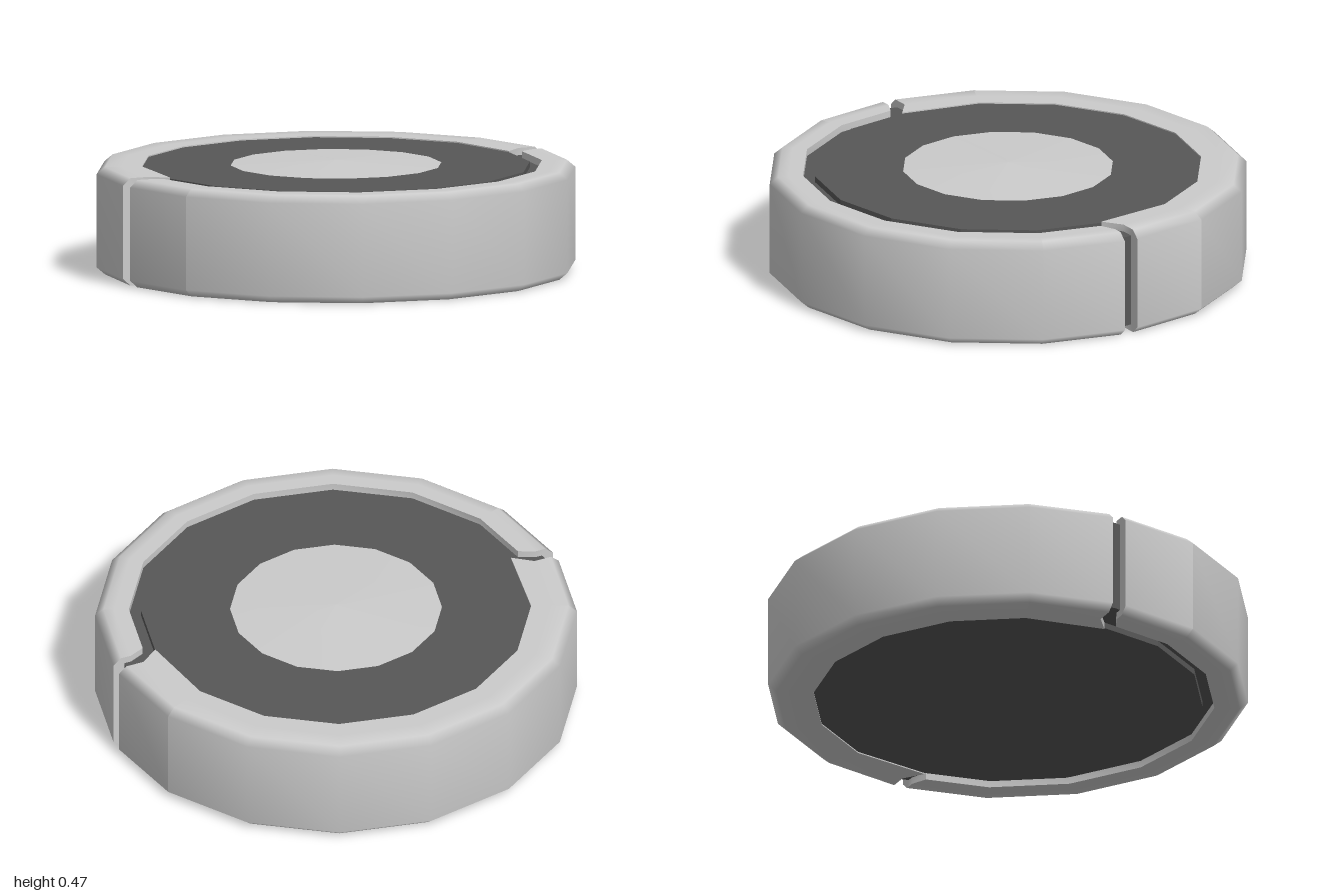
import * as THREE from 'three';

const SIDES = 16;
const HEIGHT = 0.45, LIP = 0.03;
const CORE_R = 0.81, BODY_R = 0.95, HALF_GAP = 0.03;

const grey = new THREE.MeshStandardMaterial({ color: 0xcccccc, side: THREE.DoubleSide });
const dark = new THREE.MeshStandardMaterial({ color: 0x575757, flatShading: true });

// Indexed surface through rows of points; area-weighted normals keep the bevels soft
function surface(rows) {
  const n = rows[0].length, index = [];
  for (let j = 0; j < rows.length - 1; j++) {
    for (let k = 0; k < n - 1; k++) {
      const a = j * n + k, b = a + n;
      index.push(a, b, a + 1, b, b + 1, a + 1);
    }
  }
  const geo = new THREE.BufferGeometry().setFromPoints(rows.flat());
  geo.setIndex(index);
  geo.computeVertexNormals();
  return geo;
}

// Half of the outer shell. side = 1 front, -1 back.
// The lip ends bend between radius bend and radius inner, reaching offset endZ.
function halfShell(name, side, inner, bend, endZ) {
  const group = new THREE.Group();
  group.name = name;
  const add = (part, rows) => {
    const mesh = new THREE.Mesh(surface(rows), grey);
    mesh.name = part;
    group.add(mesh);
  };

  const outer = [
    [inner, HEIGHT], [bend, HEIGHT], [0.965, HEIGHT], [1, HEIGHT - 0.03],
    [1, 0.03], [0.965, 0], [bend, 0], [inner, 0],
  ];
  const inside = [
    [inner, HEIGHT - LIP], [bend, HEIGHT - LIP], [BODY_R, HEIGHT - LIP], [BODY_R, HEIGHT - LIP],
    [BODY_R, LIP], [BODY_R, LIP], [bend, LIP], [inner, LIP],
  ];

  // Profile point (r, y) placed at station j of the half turn
  const half = SIDES / 2;
  const place = j => ([r, y]) => {
    const a = j * Math.PI / half + (side < 0 ? Math.PI : 0);
    if (j > 0 && j < half) return new THREE.Vector3(r * Math.cos(a), y, r * Math.sin(a));
    const t = THREE.MathUtils.clamp((bend - r) / (bend - inner), 0, 1);
    const z = THREE.MathUtils.lerp(HALF_GAP, endZ, t);
    const x = r - Math.abs(z) * Math.tan(Math.PI / SIDES);
    return new THREE.Vector3(Math.cos(a) * x, y, side * z);
  };
  const sweep = (profile, from, to) => {
    const rows = [];
    for (let j = from; j <= to; j++) rows.push(profile.map(place(j)));
    return rows;
  };

  // Smooth wall with a crisp facet at each end
  add('shellWall', sweep(outer, 1, half - 1));
  add('shellEndFacet', sweep(outer, 0, 1));
  add('shellEndFacet', sweep(outer, half - 1, half));

  // Inner edges of the top and bottom lips
  add('upperLip', sweep([inside[0], outer[0]], 0, half));
  add('lowerLip', sweep([outer[7], inside[7]], 0, half));

  // End faces along the gap
  add('shellEnd', [inside.map(place(0)), outer.map(place(0))]);
  add('shellEnd', [outer.map(place(half)), inside.map(place(half))]);
  return group;
}

export function createModel() {
  const model = new THREE.Group();
  model.name = 'roundDevice';

  // Dark body with a raised disc above and below
  const profile = [
    [0, 0.005], [CORE_R, 0.005], [CORE_R, LIP], [BODY_R, LIP],
    [BODY_R, HEIGHT - LIP], [CORE_R, HEIGHT - LIP], [CORE_R, 0.445], [0, 0.445],
  ].map(([r, y]) => new THREE.Vector2(r, y));
  const body = new THREE.Mesh(new THREE.LatheGeometry(profile, SIDES), dark);
  body.name = 'body';
  model.add(body);

  // Shallow domed cap in the middle of the top
  const cap = new THREE.Mesh(new THREE.ConeGeometry(0.44, 0.018, SIDES), grey);
  cap.name = 'topCap';
  cap.position.y = 0.457;
  model.add(cap);

  // Front bumper leaves a groove around the body; the back shell meets it
  model.add(halfShell('frontBumper', 1, 0.86, 0.92, 0.06));
  model.add(halfShell('backShell', -1, CORE_R, 0.89, -0.03));
  return model;
}
